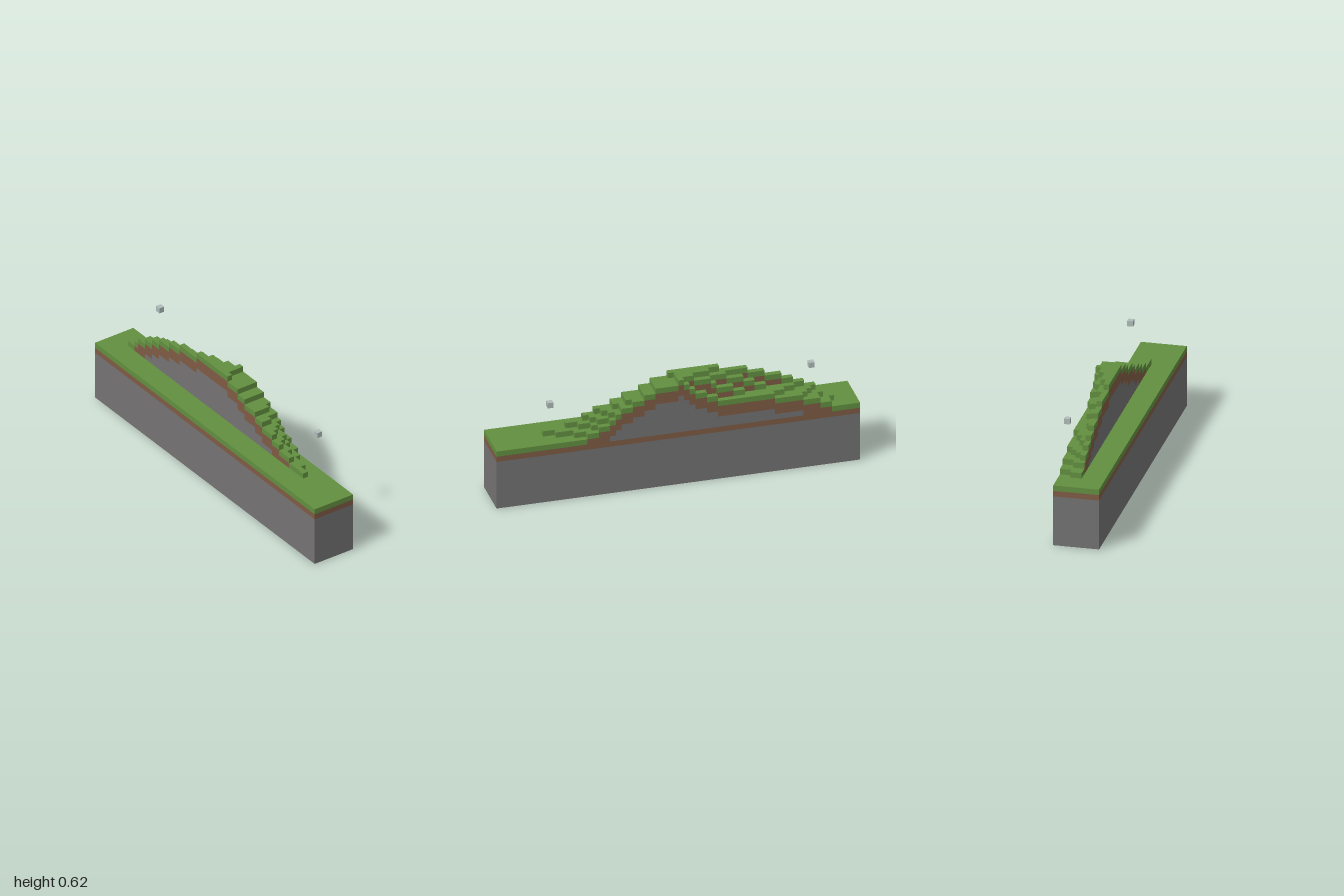
import * as THREE from 'three';
import { mergeGeometries } from 'three/addons/utils/BufferGeometryUtils.js';

const U = 1 / 32; // edge of one block
const BASE = 11; // height of the flat ground in blocks

// Where each hill layer (12th block upward) starts and ends, per row from front to back
const STARTS_FRONT = [-28, -26, -25, -23, -21, -19, -16, -13, -8];
const STARTS_BACK = [-27, -25, -22, -17, -7, -5, -3, -2, -1];
const ENDS = [
  [23, 19, 16, 14, 11, 9, 6, 4, 1],
  [21, 17, 15, 13, 11, 9, 6, 4, 0],
  [18, 15, 14, 12, 10, 9, 6, 4, 0],
  [16, 14, 12, 11, 10, 8, 6, 4, 0],
];

// Box given by its block limits
function blockBox(x0, x1, y0, y1, z0, z1) {
  const g = new THREE.BoxGeometry((x1 - x0) * U, (y1 - y0) * U, (z1 - z0) * U);
  return g.translate(((x0 + x1) / 2) * U, ((y0 + y1) / 2) * U, ((z0 + z1) / 2) * U);
}

function columnHeight(x, row) {
  let h = BASE;
  STARTS_FRONT.forEach((front, i) => {
    const start = Math.round(front + ((STARTS_BACK[i] - front) * row) / 3);
    if (x >= start && x < ENDS[row][i]) h = BASE + 1 + i;
  });
  return h;
}

export function createModel() {
  const model = new THREE.Group();
  const material = (name, color) => {
    const m = new THREE.MeshStandardMaterial({ color });
    m.name = name;
    return m;
  };
  const grass = material('grass green', 0x628f40);
  const dirt = material('dirt brown', 0x7f5b43);
  const stone = material('stone grey', 0x747273);
  const pale = material('pale grey', 0xaebcb9);

  const add = (parent, name, geometry, mat) => {
    const mesh = new THREE.Mesh(geometry, mat);
    mesh.name = name;
    parent.add(mesh);
  };

  // Flat ground: stone bed, dirt layer and the grass strip in front of the hill
  const ground = new THREE.Group();
  ground.name = 'ground';
  add(ground, 'stoneBed', blockBox(-32, 32, 0, 9, -4, 4), stone);
  add(ground, 'dirtLayer', blockBox(-32, 32, 9, 10, -4, 4), dirt);
  add(ground, 'frontGrass', blockBox(-32, 32, 10, BASE, 0, 4), grass);

  // Hill: runs of equal height, each one grass block over two of dirt over stone
  const parts = { grass: [], dirt: [], stone: [] };
  for (let row = 0; row < 4; row++) {
    const z0 = -row - 1;
    let x0 = -32;
    while (x0 < 32) {
      const h = columnHeight(x0, row);
      let x1 = x0 + 1;
      while (x1 < 32 && columnHeight(x1, row) === h) x1++;
      const dirtBottom = Math.max(10, h - 3);
      parts.grass.push(blockBox(x0, x1, h - 1, h, z0, z0 + 1));
      if (h - 1 > dirtBottom) parts.dirt.push(blockBox(x0, x1, dirtBottom, h - 1, z0, z0 + 1));
      if (dirtBottom > 10) parts.stone.push(blockBox(x0, x1, 10, dirtBottom, z0, z0 + 1));
      x0 = x1;
    }
  }
  const hill = new THREE.Group();
  hill.name = 'hill';
  add(hill, 'hillGrass', mergeGeometries(parts.grass), grass);
  add(hill, 'hillDirt', mergeGeometries(parts.dirt), dirt);
  add(hill, 'hillStone', mergeGeometries(parts.stone), stone);

  // Two single blocks floating at the back
  const floating = new THREE.Group();
  floating.name = 'floatingBlocks';
  add(floating, 'rightFloatingBlock', blockBox(-24, -23, 19, 20, -4, -3), pale);
  add(floating, 'leftFloatingBlock', blockBox(22, 23, 18, 19, -4, -3), pale);

  model.add(ground, hill, floating);
  return model;
}
